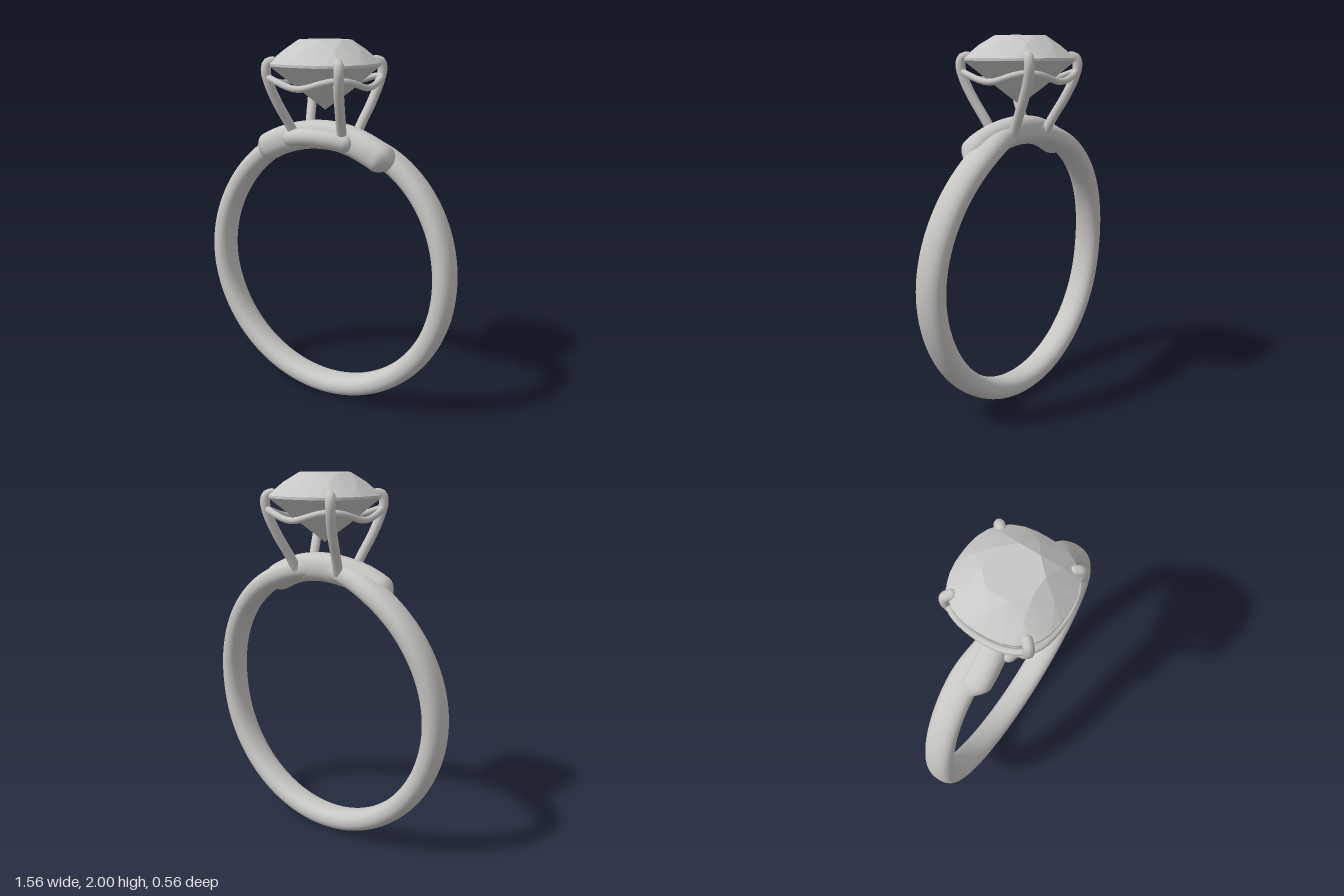
import * as THREE from 'three';
import { ConvexGeometry } from 'three/addons/geometries/ConvexGeometry.js';

const metal = new THREE.MeshStandardMaterial({ color: 0xc8c6c3 });
metal.name = 'metal';
const stone = new THREE.MeshStandardMaterial({ color: 0xc8c7c5, flatShading: true });
stone.name = 'stone';

const CENTRE = 0.78; // height of the middle of the finger hole
const V = (x, y, z) => new THREE.Vector3(x, y, z);
const smooth = (a, b, x) => THREE.MathUtils.smoothstep(x, a, b);

function add(parent, name, geometry, material) {
  const mesh = new THREE.Mesh(geometry, material);
  mesh.name = name;
  parent.add(mesh);
  return mesh;
}

// Sweeps a rounded section round the finger hole; angle 0 is the top.
// section(angle) gives mid radius r, radial half rh, z centre zc and z half zh.
function sweep(a0, a1, steps, closed, section) {
  const SIDES = 32, pos = [], index = [];
  const rows = closed ? steps : steps + 1;
  const round = v => Math.sign(v) * Math.abs(v) ** 0.88;
  for (let i = 0; i < rows; i++) {
    const a = a0 + (a1 - a0) * i / steps;
    const s = section(a);
    for (let j = 0; j < SIDES; j++) {
      const t = j / SIDES * Math.PI * 2;
      const r = s.r + s.rh * round(Math.cos(t));
      pos.push(r * Math.sin(a), CENTRE + r * Math.cos(a), s.zc + s.zh * round(Math.sin(t)));
    }
  }
  for (let i = 0; i < steps; i++) {
    for (let j = 0; j < SIDES; j++) {
      const k = (j + 1) % SIDES, n = (i + 1) % rows;
      const a = i * SIDES + j, b = i * SIDES + k, c = n * SIDES + j, d = n * SIDES + k;
      index.push(a, b, c, b, d, c);
    }
  }
  const g = new THREE.BufferGeometry();
  g.setAttribute('position', new THREE.Float32BufferAttribute(pos, 3));
  g.setIndex(index);
  g.computeVertexNormals();
  return g;
}

// Point on a cushion outline (rounded square) of half width R
function cushion(angle, R, y, power) {
  const c = Math.cos(angle), s = Math.sin(angle);
  const k = R / (Math.abs(c) ** power + Math.abs(s) ** power) ** (1 / power);
  return V(c * k, y, s * k);
}

function ringOf(count, offset, R, y, power) {
  return Array.from({ length: count }, (_, i) =>
    cushion((i + offset) / count * Math.PI * 2, R, y, power));
}

export function createModel() {
  const ring = new THREE.Group();
  ring.name = 'ring';

  // Shank: swings towards the back as it nears the shoulders
  add(ring, 'shank', sweep(-Math.PI, Math.PI, 144, true, a => {
    const m = Math.abs(a);
    const swing = smooth(0, 0.6, m) * (1 - smooth(0.6, 1.75, m));
    return { r: 0.722, rh: 0.058, zc: -0.043 * swing, zh: 0.08 - 0.01 * (1 - smooth(0, 0.5, m)) };
  }), metal);

  // Bridge: thicker saddle over the top with tapered ends
  add(ring, 'bridge', sweep(-0.68, 0.68, 72, false, a => {
    const m = Math.abs(a);
    const taper = 1 - 0.98 * smooth(0.5, 0.68, m);
    return { r: 0.727, rh: 0.077 * taper, zc: 0.02 * smooth(0.1, 0.45, m) - 0.02 * smooth(0.5, 0.68, m), zh: 0.074 * taper };
  }), metal);

  // Short bar along the front of the bridge
  const arc = Array.from({ length: 9 }, (_, i) => {
    const a = (i / 8 - 0.5) * 0.46;
    return V(0.725 * Math.sin(a), CENTRE + 0.725 * Math.cos(a), 0.105 - 0.5 * a * a);
  });
  add(ring, 'frontBar', new THREE.TubeGeometry(new THREE.CatmullRomCurve3(arc), 24, 0.046, 16), metal);
  for (const end of [arc[0], arc[8]]) {
    add(ring, 'frontBarEnd', new THREE.SphereGeometry(0.046, 16, 12), metal).position.copy(end);
  }

  // Four prongs that curve out and hook over the stone
  const setting = new THREE.Group();
  setting.name = 'setting';
  ring.add(setting);
  for (const sx of [-1, 1]) {
    for (const sz of [-1, 1]) {
      const path = [
        [0.145, 1.49, 0.065], [0.163, 1.57, 0.105], [0.19, 1.68, 0.165], [0.21, 1.78, 0.208],
        [0.219, 1.85, 0.222], [0.213, 1.885, 0.214], [0.195, 1.893, 0.195],
      ].map(([x, y, z]) => V(x * sx, y, z * sz));
      add(setting, 'prong', new THREE.TubeGeometry(new THREE.CatmullRomCurve3(path), 36, 0.026, 14), metal);
      add(setting, 'prongTip', new THREE.SphereGeometry(0.026, 14, 10), metal).position.copy(path[6]);
    }
  }

  // Wire rail that dips between the prongs
  const railPoints = Array.from({ length: 48 }, (_, i) => {
    const a = i / 48 * Math.PI * 2;
    return cushion(a, 0.262, 1.79 - 0.022 * Math.cos(4 * a), 3.2);
  });
  add(setting, 'rail', new THREE.TubeGeometry(
    new THREE.CatmullRomCurve3(railPoints, true), 144, 0.017, 12, true), metal);

  // Faceted cushion-cut stone: table, crown, girdle, pavilion, point
  const facets = [
    ...ringOf(8, 0.5, 0.14, 2.0, 2),
    ...ringOf(8, 0, 0.208, 1.952, 2.2),
    ...ringOf(32, 0, 0.277, 1.885, 2.5),
    ...ringOf(32, 0, 0.277, 1.872, 2.5),
    ...ringOf(8, 0.5, 0.13, 1.737, 2.2),
    V(0, 1.64, 0),
  ];
  add(ring, 'stone', new ConvexGeometry(facets), stone);

  return ring;
}
